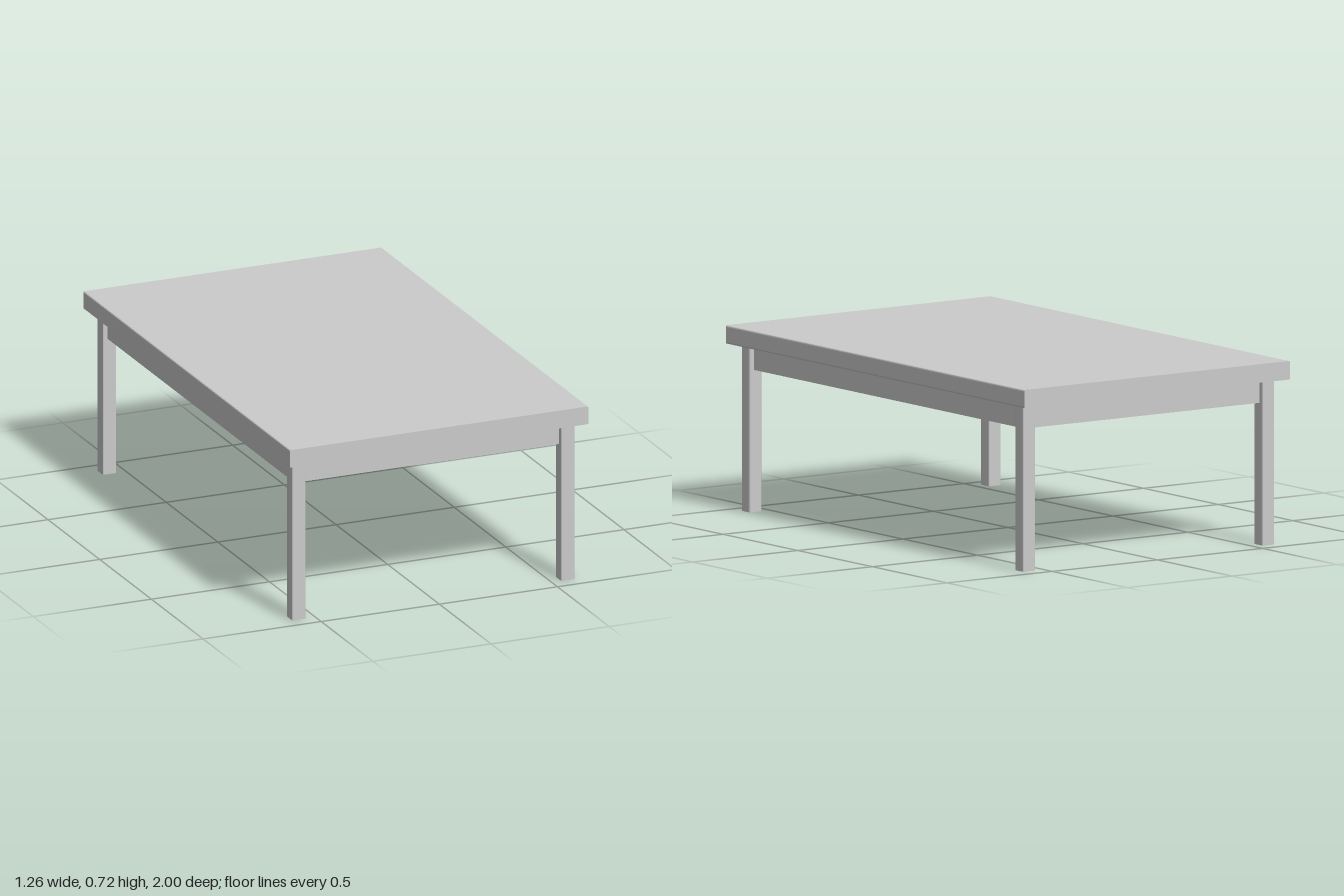
import * as THREE from 'three';

const material = new THREE.MeshStandardMaterial({ color: 0xcccccc });

// Rectangle with small rounded corners, extruded along z and centred
function roundedBar(w, h, depth, r) {
  const x = w / 2, y = h / 2;
  const s = new THREE.Shape();
  s.moveTo(-x + r, -y);
  s.lineTo(x - r, -y);
  s.quadraticCurveTo(x, -y, x, -y + r);
  s.lineTo(x, y - r);
  s.quadraticCurveTo(x, y, x - r, y);
  s.lineTo(-x + r, y);
  s.quadraticCurveTo(-x, y, -x, y - r);
  s.lineTo(-x, -y + r);
  s.quadraticCurveTo(-x, -y, -x + r, -y);
  const g = new THREE.ExtrudeGeometry(s, { depth, bevelEnabled: false, curveSegments: 3 });
  return g.translate(0, 0, -depth / 2);
}

export function createModel() {
  const table = new THREE.Group();
  table.name = 'table';

  const add = (name, geometry, x, y, z) => {
    const mesh = new THREE.Mesh(geometry, material);
    mesh.name = name;
    mesh.position.set(x, y, z);
    table.add(mesh);
  };

  const topY = 0.724, underY = 0.651, apronY = 0.558;

  // Thick slab top with softened long edges
  add('tableTop', roundedBar(1.264, topY - underY, 2, 0.007), 0, (topY + underY) / 2, 0);

  // Solid apron block, set back slightly from the outer leg faces
  add('apron', new THREE.BoxGeometry(1.158, underY - apronY, 1.85), 0, (underY + apronY) / 2, 0);

  // Four square legs with softened upright edges
  const legGeometry = roundedBar(0.058, 0.058, underY, 0.007).rotateX(-Math.PI / 2);
  for (const [sx, side] of [[1, 'Left'], [-1, 'Right']]) {
    for (const [sz, end] of [[1, 'front'], [-1, 'back']]) {
      add(`${end}${side}Leg`, legGeometry, sx * 0.569, underY / 2, sz * 0.916);
    }
  }

  return table;
}
